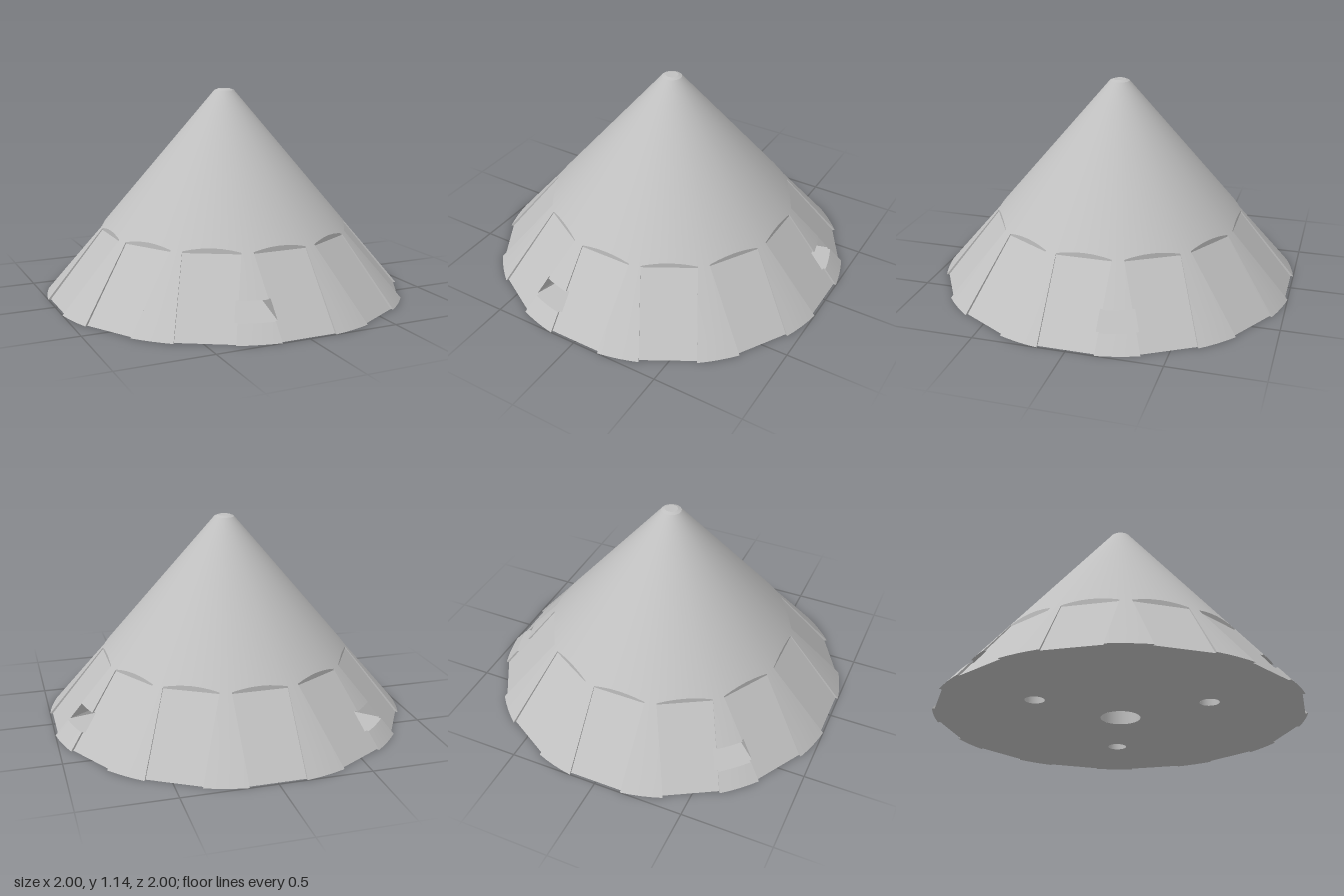
import * as THREE from 'three';
import { toCreasedNormals } from 'three/addons/utils/BufferGeometryUtils.js';

const SECTORS = 12, STEP = Math.PI / 6;
const SLOT = 0.15;               // half width of each flat slot
const LEDGE_Z = 0.68, LEDGE_Y = 0.365;
const VENT_LOW = 0.085, VENT_HIGH = 0.175, VENT_COL = 3;
const SLOPE = 0.843, HEIGHT = 1.14, TIP = 0.05;
const slotXs = [0, 0.05, 0.1, 0.134, SLOT];

const coneR = y => TIP + (HEIGHT - y) * SLOPE;
const coneY = r => HEIGHT - (r - TIP) / SLOPE;
const flatZ = y => 0.985 - (0.985 - LEDGE_Z) * y / LEDGE_Y;
const isVent = s => s % 4 === 3;
const polar = (angle, r, y) => new THREE.Vector3(Math.sin(angle) * r, y, Math.cos(angle) * r);

// One 30 degree section as [angle, radius, y], mirrored about its rib centre
const mirrored = half => half.concat(half.slice(0, -1).reverse().map(([a, r, y]) => [STEP - a, r, y]));
const ribAngles = a => [a, (a + STEP / 2) / 2, STEP / 2];

// Flat slot, small step, round rib, step, next slot
function slottedRow(y) {
  const z = flatZ(y), r = coneR(y);
  return mirrored([
    ...slotXs.map(x => [Math.atan2(x, z), Math.hypot(x, z), y]),
    ...ribAngles(Math.asin(SLOT / r)).map(a => [a, r, y]),
  ]);
}

// Curved upper edge of the slots
function ledgeRow() {
  const end = Math.hypot(SLOT, LEDGE_Z);
  return mirrored([
    ...slotXs.map(x => {
      const r = Math.hypot(x, LEDGE_Z);
      return [Math.atan2(x, LEDGE_Z), r, coneY(r)];
    }),
    ...ribAngles(Math.atan2(SLOT, LEDGE_Z)).map(a => [a, end, coneY(end)]),
  ]);
}

function triangles(list) {
  const g = new THREE.BufferGeometry();
  g.setFromPoints(list);
  g.computeVertexNormals();
  return g;
}

const quad = (a, b, c, d) => [a, b, c, a, c, d];

function bodyGeometry() {
  const ledge = ledgeRow();
  const ring = (r, y) => ledge.map(([a]) => [a, r, y]);
  const rows = [
    ...[0, VENT_LOW, VENT_HIGH, 0.27, LEDGE_Y].map(slottedRow),
    ledge,
    ...[0.42, 0.65, 0.9, 1.05].map(y => ring(coneR(y), y)),
    ring(0.055, 1.134), ring(0.035, 1.142), ring(0, 1.142),
  ];
  const out = [], tri = new THREE.Triangle();
  for (let s = 0; s < SECTORS; s++) {
    const pts = rows.map(row => row.map(([a, r, y]) => polar(a + s * STEP, r, y)));
    for (let i = 0; i < rows.length - 1; i++) {
      for (let j = 0; j < 14; j++) {
        if (isVent(s) && i === 1 && j >= VENT_COL && j < 14 - VENT_COL) continue; // vent mouth
        const q = quad(pts[i][j], pts[i][j + 1], pts[i + 1][j + 1], pts[i + 1][j]);
        for (let k = 0; k < 6; k += 3) {
          tri.set(q[k], q[k + 1], q[k + 2]);
          if (tri.getArea() > 1e-8) out.push(q[k].clone(), q[k + 1].clone(), q[k + 2].clone());
        }
      }
    }
  }
  // Enlarged while creasing so that close edges stay separate
  const g = triangles(out).scale(100, 100, 100);
  return toCreasedNormals(g, 0.3).scale(0.01, 0.01, 0.01);
}

// Flat horizontal plate through points, with round holes [x, z, radius]
function plate(points, y, holes = []) {
  const shape = new THREE.Shape(points.map(p => new THREE.Vector2(p.x, p.z)));
  for (const [x, z, r] of holes) {
    shape.holes.push(new THREE.Path().absarc(x, z, r, 0, Math.PI * 2, true));
  }
  return new THREE.ShapeGeometry(shape, 24).rotateX(Math.PI / 2).translate(0, y, 0);
}

export function createModel() {
  const group = new THREE.Group();
  const grey = new THREE.MeshStandardMaterial({ color: 0xc0c0c0, side: THREE.DoubleSide });
  grey.name = 'light grey';
  const add = (name, geometry, parent = group) => {
    const mesh = new THREE.Mesh(geometry, grey);
    mesh.name = name;
    parent.add(mesh);
    return mesh;
  };
  const bore = (r, h) => new THREE.CylinderGeometry(r, r, h, 32, 1, true).translate(0, h / 2, 0);

  add('slottedCone', bodyGeometry());

  // Underside with a central socket and three drain holes
  const outline = [], holes = [[0, 0, 0.109]];
  for (let s = 0; s < SECTORS; s++) {
    for (const [a, r] of slottedRow(0).slice(0, -1)) outline.push(polar(a + s * STEP, r, 0));
    if (isVent(s)) {
      const c = polar((s + 0.5) * STEP, 0.525, 0);
      holes.push([c.x, c.z, 0.053]);
    }
  }
  add('underside', plate(outline, 0, holes));
  add('socketWall', bore(0.109, 0.09));
  add('socketEnd', new THREE.CircleGeometry(0.109, 32).rotateX(Math.PI / 2).translate(0, 0.09, 0));

  // Air passages running inward from the rim and down to the drain holes
  for (let s = 0; s < SECTORS; s++) {
    if (!isVent(s)) continue;
    const vent = new THREE.Group();
    vent.name = 'airVent';
    group.add(vent);
    const mid = (s + 0.5) * STEP;
    const mouth = y => slottedRow(y).slice(VENT_COL, 15 - VENT_COL)
      .map(([a, r]) => polar(a + s * STEP, r, y));
    const back = (side, y) => polar(mid, 0.44, y)
      .add(new THREE.Vector3(Math.cos(mid), 0, -Math.sin(mid)).multiplyScalar(side * 0.1));
    const low = mouth(VENT_LOW), high = mouth(VENT_HIGH);
    const bl = back(-1, VENT_LOW), br = back(1, VENT_LOW);
    const tl = back(-1, VENT_HIGH), tr = back(1, VENT_HIGH);
    const c = polar(mid, 0.525, 0);
    add('ventFloor', plate([...low, br, bl], VENT_LOW, [[c.x, c.z, 0.053]]), vent);
    add('ventCeiling', plate([...high, tr, tl], VENT_HIGH), vent);
    add('ventWalls', triangles([
      ...quad(low[0], bl, tl, high[0]),
      ...quad(bl, br, tr, tl),
      ...quad(br, low.at(-1), high.at(-1), tr),
    ]), vent);
    add('drainHole', bore(0.053, VENT_LOW), vent).position.copy(c);
  }
  return group;
}
